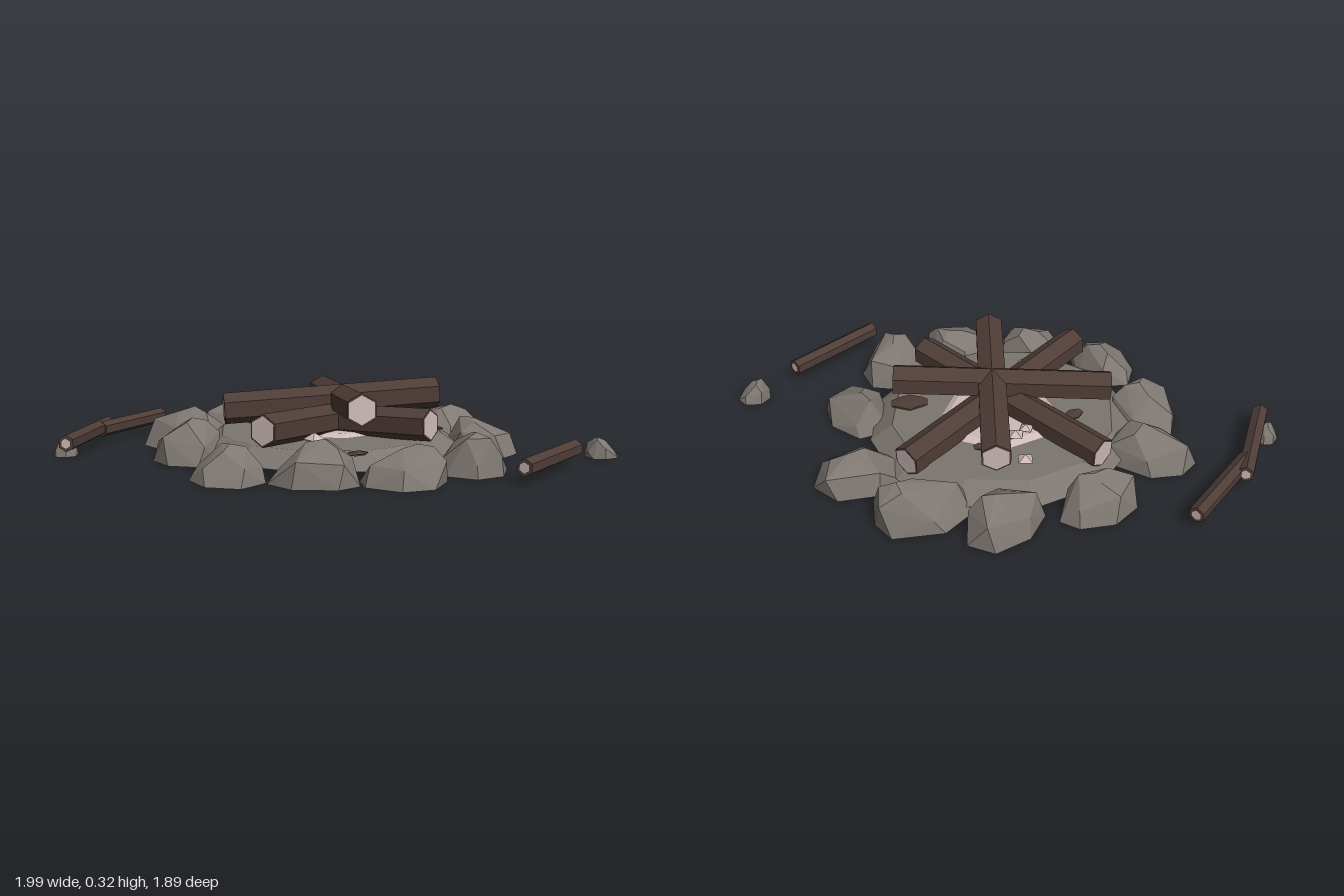
import * as THREE from 'three';
import { ConvexGeometry } from 'three/addons/geometries/ConvexGeometry.js';

const flat = (name, color, side = THREE.FrontSide) => {
  const m = new THREE.MeshStandardMaterial({ color, flatShading: true, side });
  m.name = name;
  return m;
};

export function createModel() {
  const group = new THREE.Group();
  group.name = 'campfire';
  const stone = flat('stone grey', 0x7f7872, THREE.DoubleSide);
  const ash = flat('ash grey', 0x7c7570, THREE.DoubleSide);
  const bark = flat('bark brown', 0x4f3d37);
  const wood = flat('pale wood', 0xcfbaba);

  let seed = 7;
  const rand = () => (seed = (seed * 16807) % 2147483647) / 2147483647;

  const add = (name, geometry, material, x = 0, y = 0, z = 0, parent = group) => {
    const mesh = new THREE.Mesh(geometry, material);
    mesh.name = name;
    mesh.position.set(x, y, z);
    parent.add(mesh);
    return mesh;
  };

  // Hexagonal stick between two points, with a pale plate inset in each bark-edged end
  const stick = (name, a, b, radius, core) => {
    const start = new THREE.Vector3(...a), end = new THREE.Vector3(...b);
    const length = start.distanceTo(end);
    const body = add(name, new THREE.CylinderGeometry(radius, radius, length, 6).rotateX(Math.PI / 2), bark);
    body.position.copy(start).add(end).multiplyScalar(0.5);
    body.lookAt(end);
    for (const side of [1, -1]) {
      const plate = new THREE.CircleGeometry(radius * core, 6, Math.PI / 2);
      const cut = add(name + 'CutEnd', plate, wood, 0, 0, side * (length / 2 + 0.002), body);
      if (side < 0) cut.rotation.y = Math.PI;
    }
  };

  // Angular rock shell, open underneath: straight flanks rising to a small off-centre crown
  const rock = (name, x, z, rx, rz, turn, h, peakX = 0, peakZ = 0) => {
    const points = [];
    const ring = (sides, scale, level, wobble, ox, oz, phase) => {
      for (let i = 0; i < sides; i++) {
        const angle = ((i + phase + 0.3 * rand()) / sides) * Math.PI * 2;
        const r = scale * (0.98 + 0.1 * rand());
        const u = Math.cos(angle) * rx * r, v = Math.sin(angle) * rz * r;
        points.push(new THREE.Vector3(
          u * Math.cos(turn) + v * Math.sin(turn) + ox,
          h * (level + wobble * (rand() - 0.5)),
          v * Math.cos(turn) - u * Math.sin(turn) + oz));
      }
    };
    ring(7, 1, 0, 0, 0, 0, 0);
    ring(5, 0.86, 0.5, 0.4, peakX * 0.3, peakZ * 0.3, 0.4);
    ring(3, 0.4, 0.88, 0.2, peakX, peakZ, 0.2);
    points.push(new THREE.Vector3(peakX, h, peakZ));
    const hull = new ConvexGeometry(points);
    const p = hull.attributes.position, kept = [];
    for (let i = 0; i < p.count; i += 3) {
      if (Math.max(p.getY(i), p.getY(i + 1), p.getY(i + 2)) < 0.001) continue;
      for (let k = i; k < i + 3; k++) kept.push(p.getX(k), p.getY(k), p.getZ(k));
    }
    const shell = new THREE.BufferGeometry();
    shell.setAttribute('position', new THREE.Float32BufferAttribute(kept, 3));
    shell.computeVertexNormals();
    add(name, shell, stone, x, 0, z);
  };

  // Ash mound: open shell with a sloping rim
  const rim = new THREE.CylinderGeometry(0.48, 0.575, 0.065, 12, 1, true, Math.PI / 12);
  add('ashMoundRim', rim, ash, 0.035, 0.0675, -0.015);
  const top = new THREE.CircleGeometry(0.48, 12, Math.PI / 12).rotateX(-Math.PI / 2);
  add('ashMoundTop', top, ash, 0.035, 0.1, -0.015);

  // Pale ash bed under the logs
  add('paleAshBed', new THREE.CylinderGeometry(0.22, 0.25, 0.015, 8, 1, false, Math.PI / 8),
    wood, 0.06, 0.109, -0.03);

  // Pale embers
  for (const [x, z, r] of [[0.12, -0.38, 0.04], [-0.22, 0.24, 0.045], [0.08, -0.22, 0.04],
    [0.02, -0.2, 0.035], [-0.2, 0.13, 0.035], [0.27, 0.02, 0.035]]) {
    const ember = add('paleEmber', new THREE.OctahedronGeometry(r), wood, x, 0.125, z);
    ember.scale.y = 0.6;
    ember.rotation.y = x * 3;
  }

  // Charred chips lying in the ash
  for (const [x, z, r] of [[0.37, 0.22, 0.085], [-0.18, 0.475, 0.055], [-0.22, -0.18, 0.05], [0.22, -0.2, 0.045]]) {
    const chip = add('charredChip', new THREE.DodecahedronGeometry(r), bark, x, 0.103, z);
    chip.scale.set(1, 0.12, 0.7);
    chip.rotation.y = -x;
  }

  // Crossed logs, lower pair then upper pair
  stick('lowerLog', [-0.175, 0.125, -0.49], [0.185, 0.175, 0.475], 0.067, 0.88);
  stick('lowerLog', [-0.45, 0.18, 0.225], [0.55, 0.125, -0.175], 0.067, 0.88);
  stick('upperLog', [-0.39, 0.205, -0.19], [0.44, 0.255, 0.21], 0.067, 0.88);
  stick('upperLog', [0.265, 0.205, -0.41], [-0.11, 0.255, 0.41], 0.067, 0.88);

  // Loose twigs
  stick('twig', [0.275, 0.07, 0.915], [0.715, 0.07, 0.765], 0.036, 0.6);
  stick('twig', [-0.975, 0.07, -0.495], [-0.65, 0.072, -0.815], 0.036, 0.6);
  stick('twig', [-0.72, 0.068, -0.73], [-0.335, 0.068, -0.92], 0.035, 0.6);

  // Ring of stones: x, z, half width, half depth, turn, height, peak offset
  [
    [-0.07, -0.65, 0.17, 0.11, 0, 0.17, 0.02, 0.02],
    [0.31, -0.575, 0.18, 0.115, 0.25, 0.18, 0.04, 0],
    [0.565, -0.375, 0.2, 0.125, -0.1, 0.195, 0.1, 0.02],
    [0.705, -0.04, 0.19, 0.14, 0, 0.14, 0.04, 0],
    [0.57, 0.355, 0.12, 0.165, 0.25, 0.15, -0.02, -0.03],
    [0.285, 0.61, 0.145, 0.155, -0.3, 0.17, -0.03, 0.06],
    [-0.07, 0.625, 0.165, 0.14, -0.3, 0.145, 0.07, 0],
    [-0.35, 0.445, 0.18, 0.12, -0.7, 0.17, 0.04, 0],
    [-0.6, 0.195, 0.13, 0.165, 0.2, 0.14, 0.02, 0],
    [-0.555, -0.22, 0.135, 0.165, 0.15, 0.18, 0.02, 0.02],
    [-0.41, -0.475, 0.195, 0.12, -0.75, 0.18, 0.02, 0.02],
  ].forEach((s) => rock('ringStone', ...s));

  // Stray pebbles
  rock('pebble', -0.94, -0.59, 0.052, 0.05, 0, 0.085);
  rock('pebble', 0.925, 0.72, 0.07, 0.068, 0, 0.085, -0.02, 0);

  return group;
}
